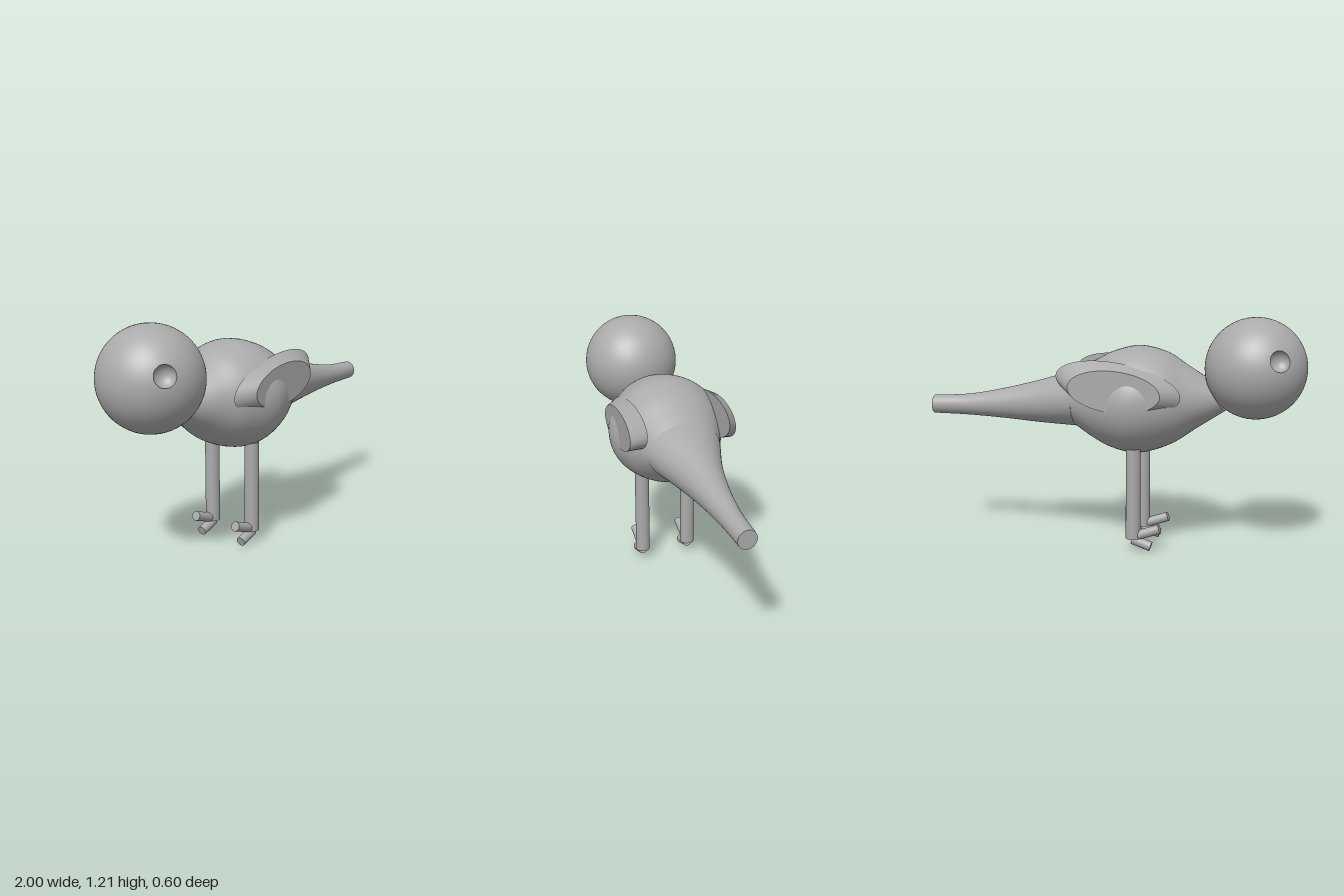
import * as THREE from 'three';

const V = (x, y, z) => new THREE.Vector3(x, y, z);
const SEG = 64;

// Skin closed rings of points, with optional flat caps.
function loft(rings, capStart = false, capEnd = false) {
  const n = rings[0].length, pos = [], idx = [];
  rings.forEach(r => r.forEach(p => pos.push(p.x, p.y, p.z)));
  for (let i = 0; i < rings.length - 1; i++) {
    for (let j = 0; j < n; j++) {
      const k = (j + 1) % n, a = i * n, b = a + n;
      idx.push(a + j, a + k, b + j, a + k, b + k, b + j);
    }
  }
  const cap = (ring, flip) => {
    const base = pos.length / 3, c = V(0, 0, 0);
    ring.forEach(p => { pos.push(p.x, p.y, p.z); c.addScaledVector(p, 1 / n); });
    pos.push(c.x, c.y, c.z);
    for (let j = 0; j < n; j++) {
      const k = (j + 1) % n;
      idx.push(base + n, base + (flip ? k : j), base + (flip ? j : k));
    }
  };
  if (capStart) cap(rings[0], true);
  if (capEnd) cap(rings[rings.length - 1], false);
  const g = new THREE.BufferGeometry();
  g.setAttribute('position', new THREE.Float32BufferAttribute(pos, 3));
  g.setIndex(idx);
  g.computeVertexNormals();
  return g;
}

const ringOf = f => Array.from({ length: SEG }, (_, j) => f(j / SEG * Math.PI * 2));

// Elliptical sections [topX, topY, bottomX, bottomY, halfWidth], smoothed along the length.
function spindle(sections, steps) {
  const tops = new THREE.CatmullRomCurve3(sections.map(s => V(s[0], s[1], s[4])));
  const lows = new THREE.CatmullRomCurve3(sections.map(s => V(s[2], s[3], s[4])));
  const rings = [];
  for (let i = 0; i <= steps; i++) {
    const t = tops.getPoint(i / steps), b = lows.getPoint(i / steps);
    rings.push(ringOf(a => {
      const m = (1 + Math.cos(a)) / 2;
      return V(b.x + (t.x - b.x) * m, b.y + (t.y - b.y) * m, t.z * Math.sin(a));
    }));
  }
  return loft(rings, true, true);
}

export function createModel() {
  const model = new THREE.Group();
  model.name = 'bird';
  const grey = new THREE.MeshStandardMaterial({ color: 0xaaaaaa });
  grey.name = 'plain grey';
  const add = (name, geometry, parent = model) => {
    const m = new THREE.Mesh(geometry, grey);
    m.name = name;
    parent.add(m);
    return m;
  };

  // Plump body, tapering to a slanted neck
  add('body', spindle([
    [-0.487, 0.905, -0.594, 0.735, 0.1],
    [-0.39, 0.965, -0.455, 0.645, 0.175],
    [-0.283, 1.03, -0.31, 0.55, 0.255],
    [-0.14, 1.06, -0.14, 0.5, 0.302],
    [-0.01, 1.03, 0.0, 0.527, 0.273],
    [0.09, 0.98, 0.1, 0.577, 0.228],
    [0.18, 0.93, 0.18, 0.63, 0.19],
  ], 48));

  // Long flared tail
  add('tail', spindle([
    [0.18, 0.93, 0.18, 0.63, 0.194],
    [0.4, 0.865, 0.4, 0.64, 0.122],
    [0.6, 0.815, 0.6, 0.654, 0.08],
    [0.8, 0.778, 0.8, 0.664, 0.056],
    [1.0, 0.765, 1.0, 0.667, 0.048],
  ], 32));

  // Head: each half is swept from the rim of its eye socket to the middle plane
  const head = new THREE.Group();
  head.name = 'head';
  head.position.set(-0.742, 0.955, 0);
  model.add(head);
  const R = 0.258, eyeR = 0.053, rim = Math.asin(eyeR / R), depth = 0.045;
  for (const s of [1, -1]) {
    const side = s > 0 ? 'left' : 'right';
    const axis = V(-0.52, 0.23, 0.82 * s).normalize();
    const e1 = V(0, 1, 0).cross(axis).normalize();
    const e2 = e1.clone().cross(axis);
    const spoke = a => e1.clone().multiplyScalar(Math.cos(a)).addScaledVector(e2, Math.sin(a));
    const shell = [], socket = [];
    for (let i = 0; i <= 40; i++) {
      shell.push(ringOf(a => {
        const u = spoke(a), end = Math.atan2(Math.abs(axis.z), -u.z * s);
        const th = rim + (end - rim) * i / 40;
        return u.multiplyScalar(R * Math.sin(th)).addScaledVector(axis, R * Math.cos(th));
      }));
    }
    const g = loft(shell);
    const p = g.attributes.position, nrm = g.attributes.normal;
    for (let i = 0; i < p.count; i++) nrm.setXYZ(i, p.getX(i) / R, p.getY(i) / R, p.getZ(i) / R);
    add(side + 'HeadHalf', g, head);

    // Hollow eye socket
    for (let i = 0; i <= 12; i++) {
      const th = Math.max(i / 12, 0.01) * Math.PI / 2;
      socket.push(ringOf(a => spoke(a).multiplyScalar(eyeR * Math.sin(th))
        .addScaledVector(axis, R * Math.cos(rim) - depth * Math.cos(th))));
    }
    add(side + 'EyeSocket', loft(socket), head);
  }

  // Wings: bevelled oval plates
  const oval = (cx, cy, rx, ry, tilt, z, s) => ringOf(a => {
    const x = rx * Math.cos(a * s), y = ry * Math.sin(a * s);
    return V(cx + x * Math.cos(tilt) - y * Math.sin(tilt),
      cy + x * Math.sin(tilt) + y * Math.cos(tilt), z * s);
  });

  // Toe directions from the ankle, as start and end in x and y
  const toes = [
    [-0.15, 0.078, -0.278, 0.122],
    [-0.135, 0.058, -0.232, 0.025],
  ];

  for (const s of [1, -1]) {
    const side = s > 0 ? 'left' : 'right';
    const base = oval(-0.072, 0.867, 0.324, 0.12, 0.17, 0.215, s);
    const face = oval(-0.065, 0.849, 0.236, 0.104, 0.09, 0.281, s);
    const wing = loft([base, face], true, true);
    add(side + 'Wing', wing);

    // Leg and two forward toes
    const leg = new THREE.Group();
    leg.name = side + 'Leg';
    leg.position.z = 0.13 * s;
    model.add(leg);
    add('shank', new THREE.CylinderGeometry(0.038, 0.038, 0.475, 32), leg).position.set(-0.138, 0.3025, 0);
    for (const [x0, y0, x1, y1] of toes) {
      const from = V(x0, y0, 0), to = V(x1, y1, 0), dir = to.clone().sub(from);
      const toe = add('toe', new THREE.CylinderGeometry(0.025, 0.025, dir.length(), 24), leg);
      toe.position.copy(from).add(to).multiplyScalar(0.5);
      toe.quaternion.setFromUnitVectors(V(0, 1, 0), dir.normalize());
    }
  }
  return model;
}
